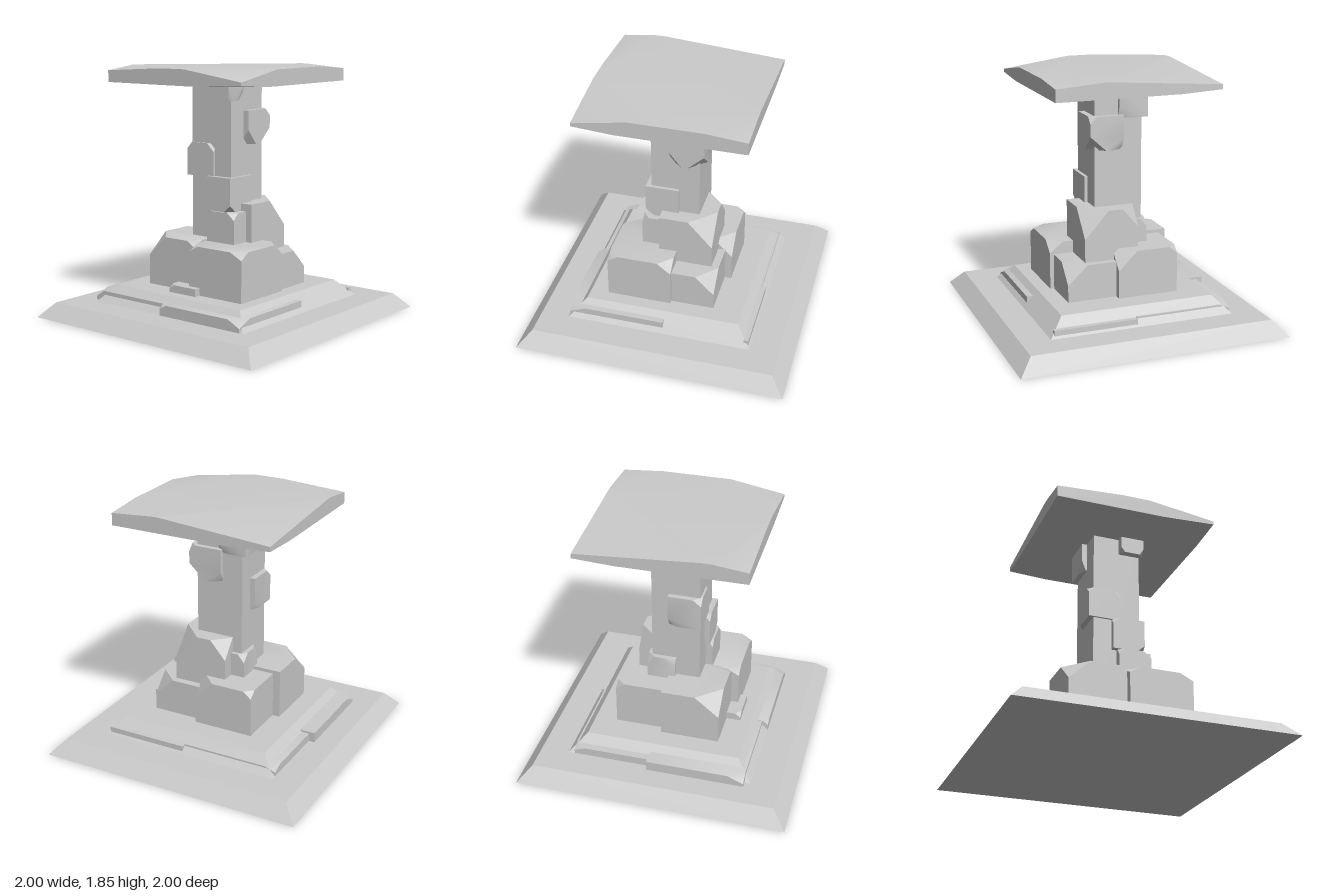
import * as THREE from 'three';
import { ConvexGeometry } from 'three/addons/geometries/ConvexGeometry.js';
import { toCreasedNormals } from 'three/addons/utils/BufferGeometryUtils.js';

const material = new THREE.MeshStandardMaterial({ color: 0xcccccc });

// Block given by its x, y and z ranges; each chip [sx, sy, sz, dx, dy, dz]
// cuts the corner at those signs by the given distances along its edges.
function stone(name, xs, ys, zs, chips = [], crease = 0.75) {
  const points = [];
  for (const sx of [-1, 1]) for (const sy of [-1, 1]) for (const sz of [-1, 1]) {
    const corner = new THREE.Vector3(xs[(sx + 1) / 2], ys[(sy + 1) / 2], zs[(sz + 1) / 2]);
    const chip = chips.find(c => c[0] === sx && c[1] === sy && c[2] === sz);
    if (!chip) { points.push(corner); continue; }
    const [, , , dx, dy, dz] = chip;
    points.push(
      corner.clone().add(new THREE.Vector3(-sx * dx, 0, 0)),
      corner.clone().add(new THREE.Vector3(0, -sy * dy, 0)),
      corner.clone().add(new THREE.Vector3(0, 0, -sz * dz)));
  }
  return hull(name, points, crease);
}

function hull(name, points, crease) {
  const mesh = new THREE.Mesh(toCreasedNormals(new ConvexGeometry(points), crease), material);
  mesh.name = name;
  return mesh;
}

// Square plinth with sloping sides
function plinth(name, bottom, top, y0, y1) {
  const points = [];
  for (const sx of [-1, 1]) for (const sz of [-1, 1]) {
    points.push(new THREE.Vector3(sx * bottom, y0, sz * bottom), new THREE.Vector3(sx * top, y1, sz * top));
  }
  return hull(name, points, 0.3);
}

export function createModel() {
  const model = new THREE.Group();
  model.name = 'stonePedestal';

  // Stepped base
  model.add(plinth('basePlinth', 1, 0.9, 0, 0.11));
  model.add(plinth('upperPlinth', 0.69, 0.575, 0.11, 0.23));

  // Four slabs laid round the step
  model.add(
    stone('slabFrontLeftHand', [-0.06, 0.66], [0.1, 0.19], [-0.03, 0.69],
      [[1, 1, 1, 0.1, 0.05, 0.12], [-1, 1, 1, 0.06, 0.03, 0.04]]),
    stone('slabFrontRightHand', [-0.735, 0], [0.1, 0.185], [-0.08, 0.645],
      [[-1, 1, 1, 0.08, 0.05, 0.12]]),
    stone('slabBackRightHand', [-0.69, 0.04], [0.1, 0.17], [-0.645, 0],
      [[-1, 1, -1, 0.08, 0.03, 0.08]]),
    stone('slabBackLeftHand', [0.04, 0.63], [0.1, 0.165], [-0.675, 0]),
    stone('slabBackCorner', [0.4, 0.66], [0.1, 0.165], [-0.675, -0.64]));

  // Square column
  model.add(stone('column', [-0.18, 0.18], [0.2, 1.75], [-0.18, 0.18], [], 0.1));

  // Large stones round the foot of the column
  model.add(
    stone('footStoneFrontRightHand', [-0.43, 0], [0.22, 0.6], [-0.05, 0.385],
      [[-1, 1, 1, 0.16, 0.15, 0.18], [1, 1, 1, 0.06, 0.04, 0.1]]),
    stone('footStoneFrontLeftHand', [0, 0.48], [0.22, 0.585], [-0.04, 0.44],
      [[1, 1, 1, 0.1, 0.05, 0.08], [-1, 1, 1, 0.08, 0.05, 0.1], [1, 1, -1, 0.1, 0.08, 0.1]]),
    stone('footStoneBackLeftHand', [0.05, 0.45], [0.22, 0.495], [-0.36, 0],
      [[1, 1, -1, 0.15, 0.14, 0.14]]),
    stone('footStoneBackRightHand', [-0.375, 0.08], [0.22, 0.575], [-0.41, -0.04],
      [[1, 1, -1, 0.14, 0.14, 0.14], [-1, 1, -1, 0.06, 0.05, 0.06]]),
    stone('frontPebble', [-0.145, 0.1], [0.22, 0.285], [0.36, 0.49],
      [[-1, 1, 1, 0.05, 0.03, 0.04]]));

  // Stones climbing the column
  model.add(
    stone('shoulderStone', [-0.11, 0.3], [0.4, 0.865], [-0.305, 0.095],
      [[1, 1, -1, 0.18, 0.2, 0.18], [-1, 1, -1, 0.12, 0.14, 0.12]]),
    stone('frontLowerStone', [0, 0.25], [0.55, 0.81], [0, 0.235],
      [[1, 1, 1, 0.06, 0.05, 0.05], [-1, 1, 1, 0.04, 0.05, 0.04]]),
    stone('frontMiddleStone', [-0.04, 0.205], [0.81, 1.06], [-0.03, 0.22],
      [[1, -1, 1, 0.06, 0.05, 0.06], [-1, 1, 1, 0.05, 0.05, 0.04]]),
    stone('frontUpperStone', [-0.22, 0.03], [1.05, 1.295], [-0.05, 0.195],
      [[1, 1, 1, 0.06, 0.06, 0.04], [1, 1, -1, 0.06, 0.06, 0.04], [-1, 1, 1, 0.06, 0.05, 0.06], [-1, -1, -1, 0.03, 0.07, 0.07]]),
    stone('backUpperStone', [-0.03, 0.225], [1.285, 1.535], [-0.22, 0.035],
      [[1, -1, 1, 0.08, 0.11, 0.09], [-1, -1, 1, 0.08, 0.11, 0.09], [1, -1, -1, 0.12, 0.11, 0.12],
        [-1, -1, -1, 0.08, 0.08, 0.05], [1, 1, -1, 0.05, 0.05, 0.05]]),
    stone('backLowerStone', [-0.215, -0.08], [0.5, 0.75], [-0.21, 0],
      [[-1, 1, -1, 0.05, 0.06, 0.06], [-1, 1, 1, 0.03, 0.06, 0.06]]),
    stone('topFrontStone', [0.02, 0.2], [1.61, 1.74], [0.05, 0.235],
      [[-1, -1, 1, 0.03, 0.04, 0.05], [1, -1, 1, 0.03, 0.05, 0.05],
        [-1, -1, -1, 0.04, 0.1, 0.09], [1, -1, -1, 0.04, 0.1, 0.09]]),
    stone('topBackStone', [-0.22, 0], [1.51, 1.74], [-0.205, 0.03],
      [[1, -1, -1, 0.08, 0.08, 0.03], [-1, -1, 1, 0.03, 0.08, 0.08]]));

  // Cap slab, worn down towards its corners
  model.add(stone('capSlab', [-0.61, 0.61], [1.735, 1.85], [-0.61, 0.61],
    [[-1, 1, -1, 0.85, 0.065, 0.9], [1, 1, -1, 0.34, 0.025, 0.3], [-1, 1, 1, 0.5, 0.03, 0.25],
      [1, 1, 1, 0.5, 0.07, 0.4], [1, -1, 1, 0.4, 0.02, 0.3], [-1, -1, -1, 0.3, 0.015, 0.3]], 0.4));

  return model;
}
